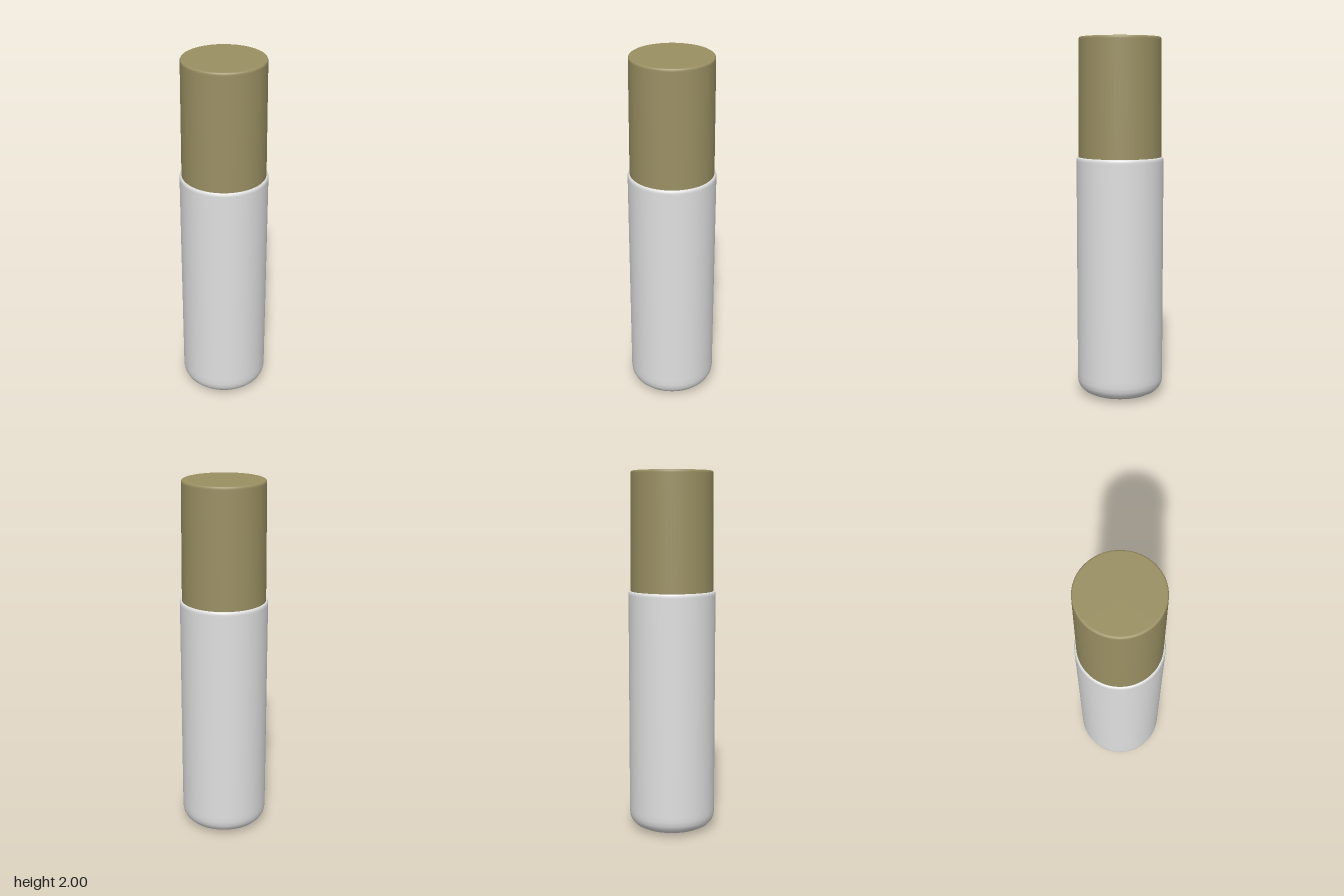
import * as THREE from 'three';

const SEGMENTS = 64;

// Spins a profile of [radius, height] pairs, listed from bottom to top, about y.
function turned(name, profile, material) {
  const points = profile.map(([r, y]) => new THREE.Vector2(r, y));
  const mesh = new THREE.Mesh(new THREE.LatheGeometry(points, SEGMENTS), material);
  mesh.name = name;
  return mesh;
}

export function createModel() {
  const white = new THREE.MeshStandardMaterial({ color: 0xe0e0e0 });
  white.name = 'white plastic';
  const olive = new THREE.MeshStandardMaterial({ color: 0x9a9063 });
  olive.name = 'olive gold';

  const group = new THREE.Group();
  group.name = 'cappedBottle';

  // Bottle body: rounded base, straight wall, narrow shoulder under the cap
  group.add(turned('bottleBody', [
    [0, 0], [0.1, 0.002], [0.15, 0.006], [0.185, 0.014], [0.21, 0.027],
    [0.227, 0.044], [0.237, 0.065], [0.241, 0.09], [0.241, 0.12],
    [0.241, 1.325], [0.241, 1.334], [0.239, 1.342], [0.235, 1.347],
    [0.231, 1.348], [0.22, 1.348], [0, 1.348],
  ], white));

  // Cap: slightly tapered sleeve with a small bevel around its flat top
  group.add(turned('cap', [
    [0, 1.335], [0.229, 1.335], [0.23, 1.337], [0.23, 1.345],
    [0.225, 1.985], [0.2245, 1.992], [0.222, 1.997], [0.218, 1.9995],
    [0.212, 2], [0, 2],
  ], olive));

  return group;
}
